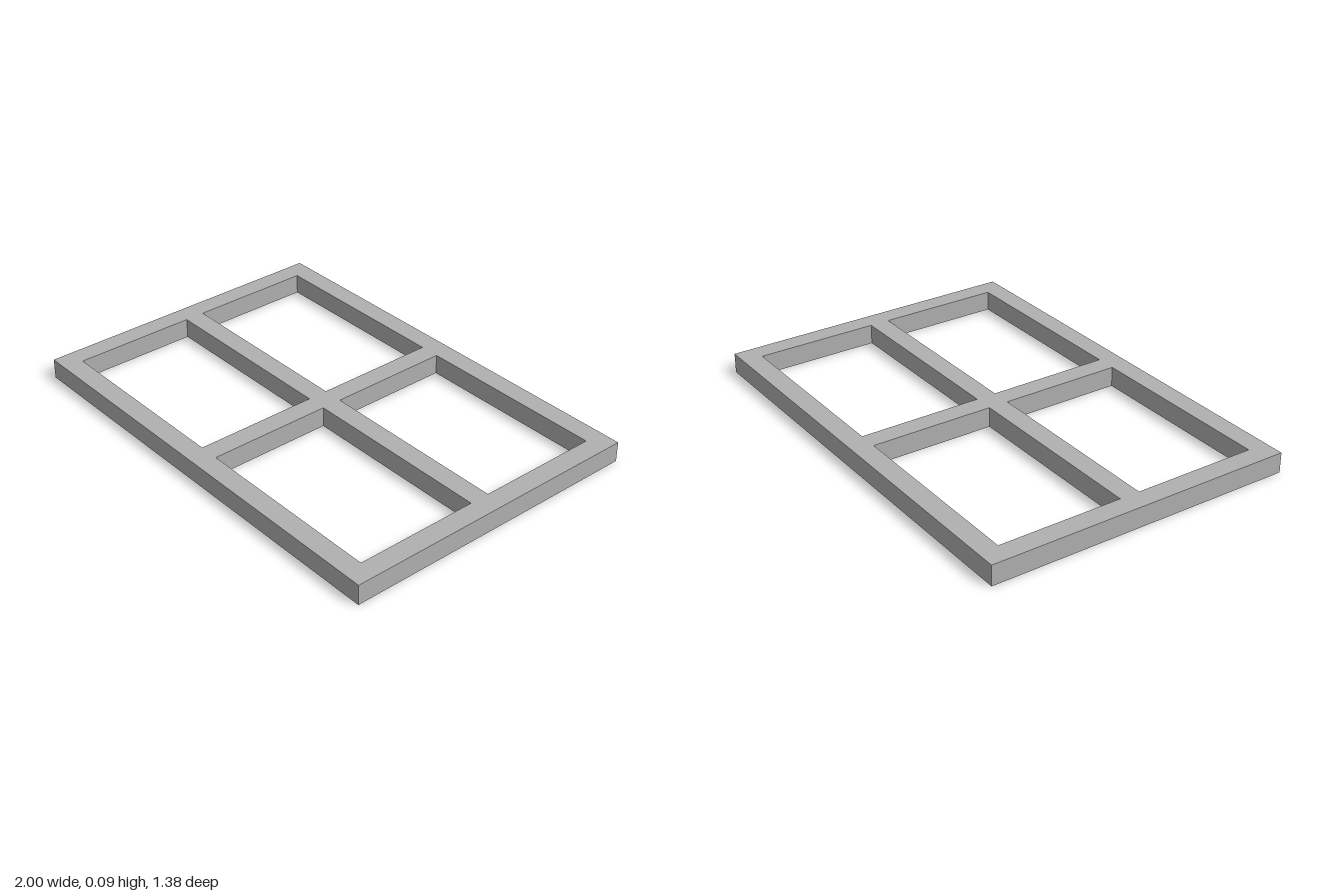
import * as THREE from 'three';

const HALF_X = 1, HALF_Z = 0.69, HEIGHT = 0.09, BAR = 0.09;

// Closed rectangle traced on the given path or shape
function rect(path, x0, y0, x1, y1) {
  path.moveTo(x0, y0);
  path.lineTo(x1, y0);
  path.lineTo(x1, y1);
  path.lineTo(x0, y1);
  path.closePath();
  return path;
}

export function createModel() {
  const group = new THREE.Group();
  group.name = 'windowFrame';

  const grey = new THREE.MeshStandardMaterial({ color: 0xb0b0b0 });
  grey.name = 'light grey';

  // Outer border with four openings separated by a central cross
  const outline = rect(new THREE.Shape(), -HALF_X, -HALF_Z, HALF_X, HALF_Z);
  for (const sx of [-1, 1]) {
    for (const sz of [-1, 1]) {
      outline.holes.push(rect(new THREE.Path(),
        sx * BAR / 2, sz * BAR / 2, sx * (HALF_X - BAR), sz * (HALF_Z - BAR)));
    }
  }

  // Lay the extrusion flat so it stands on y = 0
  const geometry = new THREE.ExtrudeGeometry(outline, { depth: HEIGHT, bevelEnabled: false });
  geometry.rotateX(-Math.PI / 2);

  const frame = new THREE.Mesh(geometry, grey);
  frame.name = 'frameWithCrossBars';
  group.add(frame);
  return group;
}
